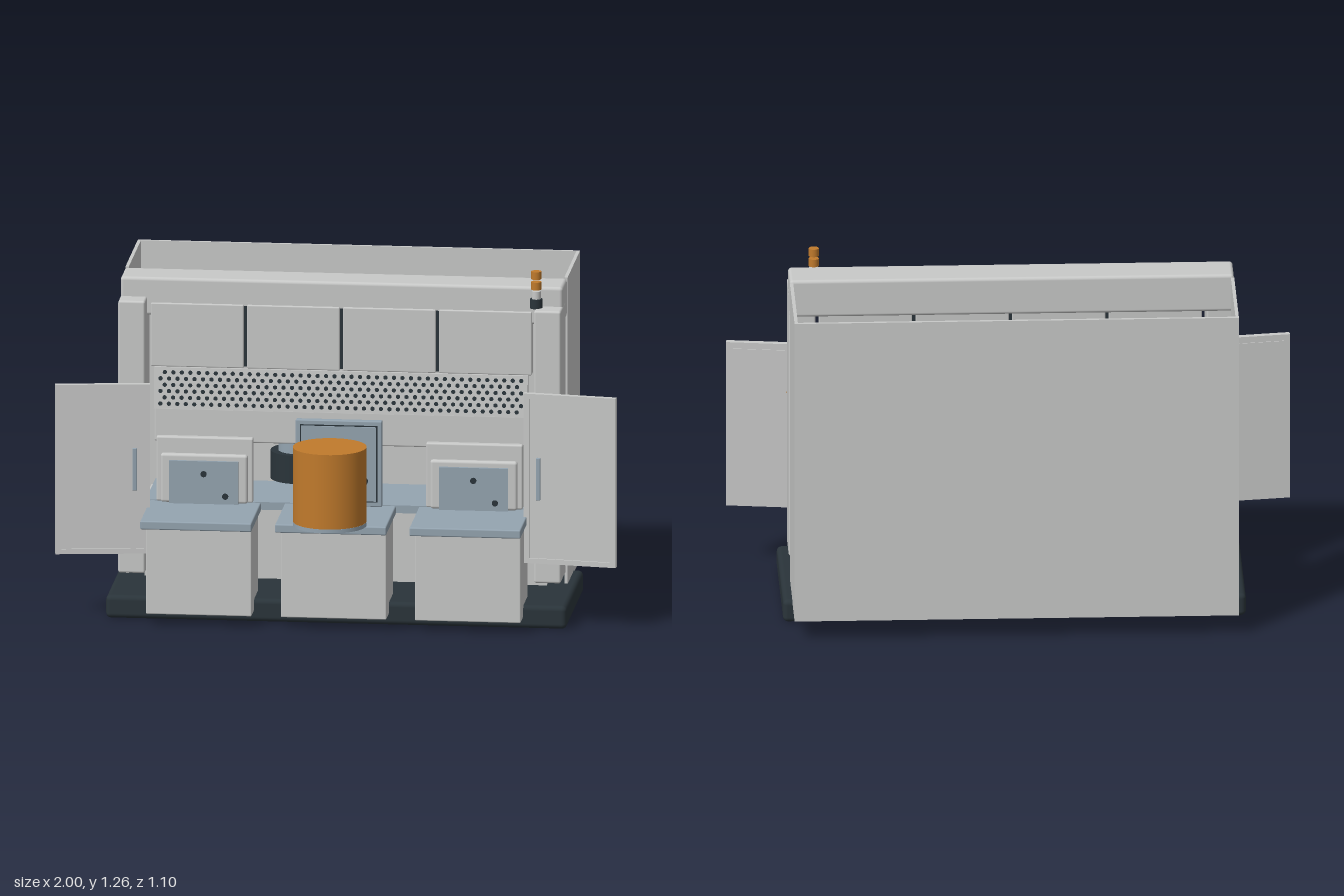
import * as THREE from 'three';
import { mergeGeometries } from 'three/addons/utils/BufferGeometryUtils.js';
import { RoundedBoxGeometry } from 'three/addons/geometries/RoundedBoxGeometry.js';

function material(name, color) {
  const m = new THREE.MeshStandardMaterial({ color });
  m.name = name;
  return m;
}

export function createModel() {
  const grey = material('light grey', 0xc8c9c8);
  const blue = material('blue grey', 0x94a4b0);
  const dark = material('charcoal', 0x2a343a);
  const orange = material('amber', 0xc07a2c);
  const amberShell = material('amber shell', 0xc07a2c);
  amberShell.side = THREE.DoubleSide;

  const model = new THREE.Group();
  model.name = 'workstation';

  function add(name, geometry, mat, x = 0, y = 0, z = 0, parent = model) {
    const mesh = new THREE.Mesh(geometry, mat);
    mesh.name = name;
    mesh.position.set(x, y, z);
    parent.add(mesh);
    return mesh;
  }
  // box from its min and max corners, rounded when r > 0
  function box(name, mat, x0, x1, y0, y1, z0, z1, r = 0, parent = model) {
    const w = x1 - x0, h = y1 - y0, d = z1 - z0;
    const g = r ? new RoundedBoxGeometry(w, h, d, 3, r) : new THREE.BoxGeometry(w, h, d);
    return add(name, g, mat, (x0 + x1) / 2, (y0 + y1) / 2, (z0 + z1) / 2, parent);
  }
  function cyl(name, mat, r, y0, y1, x, z, parent = model) {
    return add(name, new THREE.CylinderGeometry(r, r, y1 - y0, 40), mat, x, (y0 + y1) / 2, z, parent);
  }
  // short round part facing the front
  function knob(name, mat, r, x, y, z0, z1, parent = model) {
    const m = add(name, new THREE.CylinderGeometry(r, r, z1 - z0, 24), mat, x, y, (z0 + z1) / 2, parent);
    m.rotation.x = Math.PI / 2;
    return m;
  }

  // base, columns and top beam
  box('base', dark, -0.82, 0.82, 0, 0.083, -0.36, 0.212, 0.018);
  for (const s of [-1, 1]) {
    box('column', grey, s * 0.74 - 0.048, s * 0.74 + 0.048, 0.14, 1.13, -0.062, 0.102, 0.008);
  }
  box('topBeam', grey, -0.787, 0.787, 1.062, 1.2, -0.12, 0.028, 0.012);

  // rear enclosure, open at the front, top and bottom
  box('enclosureBack', grey, -0.787, 0.787, 0.075, 1.198, -0.552, -0.54);
  for (const s of [-1, 1]) {
    box('enclosureSide', grey, s * 0.781 - 0.006, s * 0.781 + 0.006, 0.075, 1.198, -0.54, -0.14);
  }

  // rear floor cabinets and upper doors
  for (let i = 0; i < 4; i++) {
    const c = (i - 1.5) * 0.362;
    box('floorCabinet', grey, c - 0.173, c + 0.173, 0.083, 0.36, -0.34, -0.106);
    const u = (i - 1.5) * 0.342;
    box('upperDoor', grey, u - 0.165, u + 0.165, 0.88, 1.11, -0.005, 0.038, 0.004);
    if (i < 3) box('doorGap', dark, u + 0.166, u + 0.176, 0.885, 1.105, 0.0, 0.03);
  }

  // perforated strip, leaning slightly back
  const strip = new THREE.Group();
  strip.name = 'perforatedStrip';
  strip.position.set(0, 0.805, 0.044);
  strip.rotation.x = -0.1;
  model.add(strip);
  box('stripPanel', grey, -0.665, 0.665, -0.074, 0.074, -0.01, 0.01, 0, strip);
  const holes = [];
  for (let row = 0; row < 6; row++) {
    for (let i = 0; i < 43; i++) {
      const g = new THREE.CircleGeometry(0.0078, 10);
      g.translate((i - 21) * 0.0302 + (row % 2 ? 0.0075 : -0.0075), (row - 2.5) * 0.0225, 0.0108);
      holes.push(g);
    }
  }
  add('stripHoles', mergeGeometries(holes), dark, 0, 0, 0, strip);
  box('lowerFascia', grey, -0.665, 0.665, 0.61, 0.732, 0.0, 0.042, 0.006);

  // counter and three stations
  box('counter', blue, -0.692, 0.692, 0.375, 0.403, -0.255, 0.07);
  for (const x of [-0.48, 0, 0.478]) {
    box('stationCabinet', grey, x - 0.188, x + 0.188, 0.04, 0.372, 0.07, 0.298, 0.004);
    box('stationTop', blue, x - 0.198, x + 0.198, 0.37, 0.401, 0.07, 0.395, 0.005);
  }
  // side panels with two ports each
  for (const x of [-0.482, 0.478]) {
    box('panelBack', grey, x - 0.172, x + 0.172, 0.401, 0.635, 0.05, 0.08, 0.006);
    box('panelHousing', grey, x - 0.155, x + 0.155, 0.401, 0.578, 0.075, 0.102, 0.01);
    box('panelFace', blue, x - 0.123, x + 0.123, 0.401, 0.556, 0.1, 0.113);
    knob('port', dark, 0.011, x, 0.51, 0.112, 0.117);
    knob('port', dark, 0.011, x + 0.077, 0.43, 0.112, 0.117);
  }
  // centre panel
  box('centrePanel', blue, -0.155, 0.152, 0.405, 0.716, 0.085, 0.112, 0.004);
  box('centrePanelInset', dark, -0.138, 0.136, 0.422, 0.7, 0.11, 0.114);
  box('centrePanelFace', blue, -0.134, 0.132, 0.426, 0.696, 0.11, 0.119);
  knob('port', dark, 0.014, 0.02, 0.59, 0.118, 0.123);
  knob('port', dark, 0.014, 0.09, 0.5, 0.118, 0.123);

  // drum guard: discs with a curved shell open towards the panel
  cyl('drumFloor', blue, 0.131, 0.41, 0.424, 0, 0.421);
  cyl('drumLid', orange, 0.131, 0.682, 0.695, 0, 0.421);
  const arc = 2.23;
  add('drumShell', new THREE.CylinderGeometry(0.13, 0.13, 0.258, 48, 1, true, -arc, 2 * arc),
    amberShell, 0, 0.553, 0.421);

  // open side doors with raised rims and handles
  for (const s of [-1, 1]) {
    const door = new THREE.Group();
    door.name = s > 0 ? 'leftDoor' : 'rightDoor';
    door.position.set(s * 0.832, 0.542, 0.2);
    door.rotation.y = -s * 0.14;
    model.add(door);
    box('doorSlab', grey, -0.168, 0.168, -0.308, 0.308, -0.01, 0.005, 0, door);
    for (const e of [-1, 1]) {
      box('doorRimSide', grey, e * 0.157 - 0.011, e * 0.157 + 0.011, -0.308, 0.308, 0.005, 0.012, 0, door);
      box('doorRimEnd', grey, -0.146, 0.146, e * 0.299 - 0.009, e * 0.299 + 0.009, 0.005, 0.012, 0, door);
    }
    box('doorBackPlate', grey, -0.145, 0.145, -0.285, 0.285, -0.013, -0.01, 0, door);
    const hx = -s * 0.113;
    box('doorHandle', blue, hx - 0.008, hx + 0.008, -0.077, 0.077, 0.008, 0.02, 0.003, door);
  }

  // control plate on the left column
  box('controlPlate', grey, 0.735, 0.785, 0.39, 0.735, 0.1, 0.113, 0.004);
  knob('stopCollar', dark, 0.018, 0.765, 0.685, 0.112, 0.124);
  knob('stopButton', orange, 0.022, 0.765, 0.685, 0.124, 0.14);
  [0.62, 0.56, 0.5, 0.44].forEach((y, i) =>
    knob('controlButton', i % 2 ? dark : blue, 0.015, 0.765, y, 0.112, 0.125));

  // signal beacon
  cyl('beaconBase', dark, 0.022, 1.128, 1.162, 0.695, 0.046);
  cyl('beaconStem', grey, 0.016, 1.162, 1.19, 0.695, 0.046);
  cyl('beaconLight', orange, 0.018, 1.196, 1.224, 0.695, 0.046);
  cyl('beaconLight', orange, 0.018, 1.234, 1.262, 0.695, 0.046);

  // instruments on the counter
  box('instrument', dark, 0.357, 0.595, 0.403, 0.545, -0.258, -0.1, 0.01);
  for (const x of [0.445, 0.515]) cyl('instrumentDial', blue, 0.005, 0.545, 0.549, x, -0.19);
  box('heaterBody', dark, 0.612, 0.75, 0.41, 0.542, -0.215, -0.065, 0.006);
  box('heaterTop', blue, 0.622, 0.74, 0.542, 0.562, -0.205, -0.065);
  box('heaterLip', dark, 0.612, 0.75, 0.56, 0.58, -0.1, -0.065);

  // jointed arm on its turntable
  cyl('turntable', dark, 0.104, 0.403, 0.505, -0.185, -0.318);
  cyl('turntableDisc', blue, 0.077, 0.505, 0.545, -0.185, -0.318);
  cyl('armShoulder', blue, 0.06, 0.545, 0.572, -0.185, -0.318);
  function link(name, x0, z0, x1, z1, y, w) {
    const len = Math.hypot(x1 - x0, z1 - z0);
    const m = add(name, new RoundedBoxGeometry(len, 0.045, w, 3, 0.012), grey, (x0 + x1) / 2, y, (z0 + z1) / 2);
    m.rotation.y = -Math.atan2(z1 - z0, x1 - x0);
  }
  link('upperArm', -0.165, -0.3, 0.05, -0.125, 0.595, 0.06);
  link('foreArm', 0.05, -0.125, 0, -0.375, 0.645, 0.05);
  cyl('armElbow', dark, 0.032, 0.56, 0.675, 0.055, -0.125);
  cyl('armTool', blue, 0.036, 0.56, 0.685, 0, -0.38);

  return model;
}
